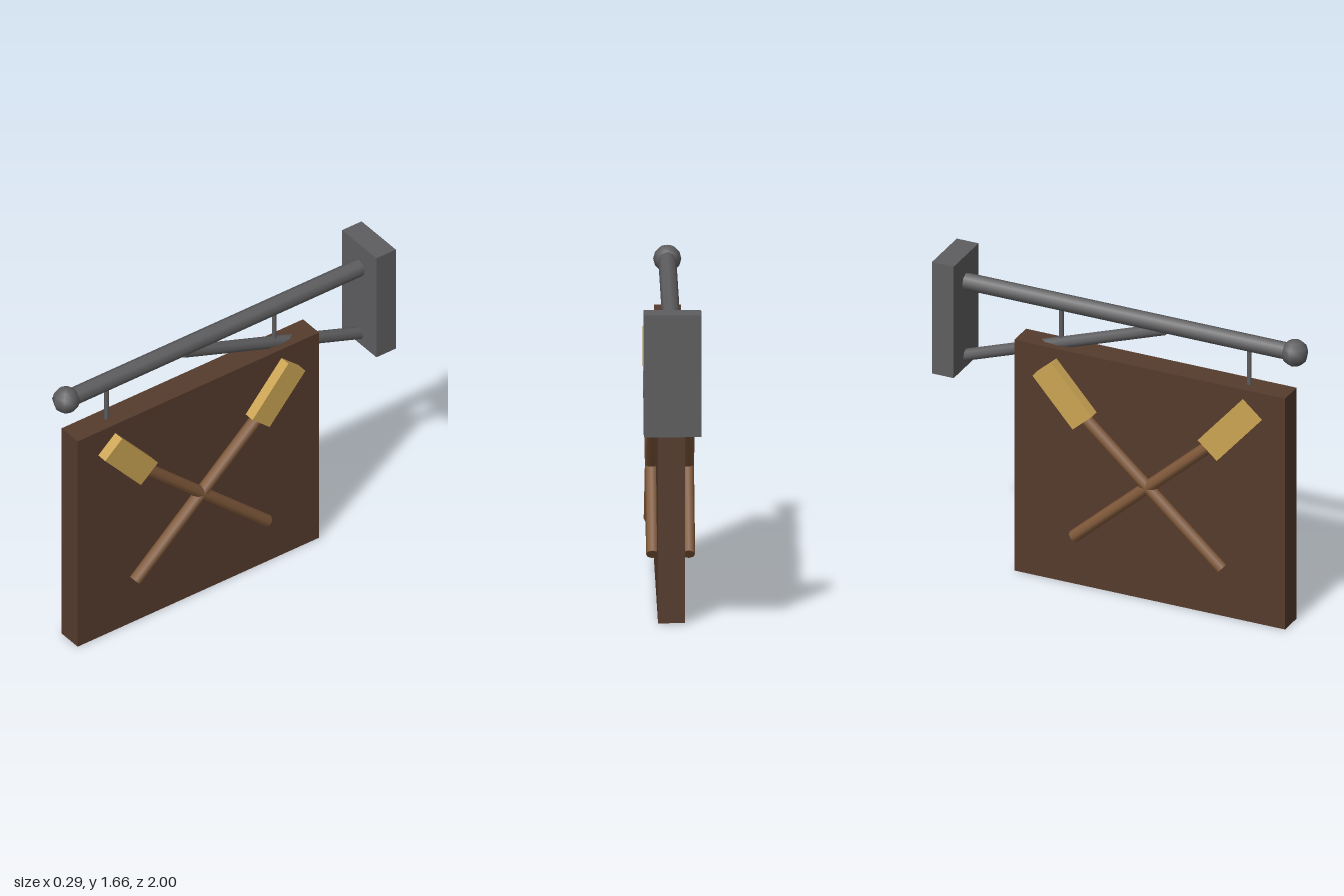
import * as THREE from 'three';

const mat = (name, color) => {
  const m = new THREE.MeshStandardMaterial({ color });
  m.name = name;
  return m;
};

export function createModel() {
  const iron = mat('iron grey', 0x5e5e60);
  const board = mat('dark wood', 0x553b2d);
  const wood = mat('handle wood', 0x80593a);
  const brass = mat('brass yellow', 0xcba453);
  const root = new THREE.Group();
  root.name = 'hangingSign';

  const add = (name, geo, material, parent = root) => {
    const mesh = new THREE.Mesh(geo, material);
    mesh.name = name;
    parent.add(mesh);
    return mesh;
  };
  const box = (name, size, pos, material, parent) => {
    const mesh = add(name, new THREE.BoxGeometry(...size), material, parent);
    mesh.position.set(...pos);
    return mesh;
  };
  // round rod between two points
  const rod = (name, a, b, r, material, parent, sides = 8) => {
    const p = new THREE.Vector3(...a), q = new THREE.Vector3(...b);
    const d = q.clone().sub(p);
    const mesh = add(name, new THREE.CylinderGeometry(r, r, d.length(), sides), material, parent);
    mesh.position.copy(p).add(q).multiplyScalar(0.5);
    mesh.quaternion.setFromUnitVectors(new THREE.Vector3(0, 1, 0), d.normalize());
    return mesh;
  };

  // wall bracket
  box('wallPlate', [0.286, 0.62, 0.12], [0, 1.35, -0.94], iron);
  rod('mainBar', [0, 1.515, -0.9], [0, 1.515, 0.92], 0.045, iron);
  rod('brace', [0, 1.095, -0.91], [0, 1.487, 0.21], 0.032, iron);
  const ball = add('endBall', new THREE.SphereGeometry(0.07, 8, 6), iron);
  ball.position.set(0, 1.515, 0.93);
  for (const z of [0.68, -0.355]) rod('hanger', [0, 1.27, z], [0, 1.5, z], 0.012, iron);

  // sign board
  box('signBoard', [0.134, 1.285, 1.49], [0, 0.6425, 0.163], board);

  // crossed hammers on both faces, mirrored about the board's middle
  const midZ = 0.163;
  for (const side of [1, -1]) {
    for (const dir of [1, -1]) {
      const hammer = new THREE.Group();
      hammer.name = 'hammer';
      hammer.position.set(side * 0.09, 0, midZ);
      root.add(hammer);
      rod('handle', [0, 0.275, -dir * 0.408], [0, 0.97, dir * 0.37], 0.032, wood, hammer);
      const head = box('hammerHead', [0.07, 0.335, 0.14], [0, 1.06, dir * 0.455], brass, hammer);
      head.rotation.x = dir * THREE.MathUtils.degToRad(41.3);
    }
  }
  return root;
}
